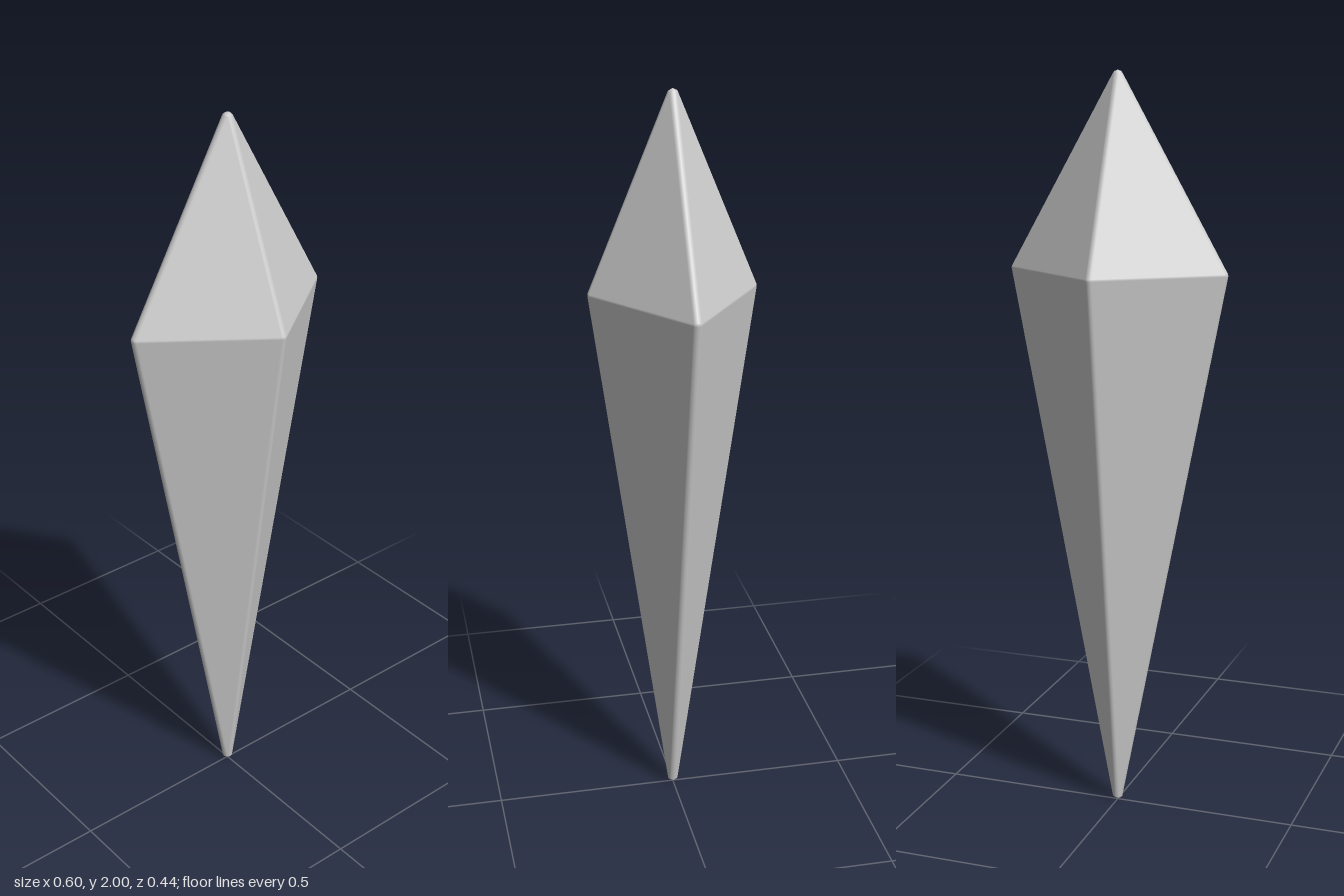
import * as THREE from 'three';

const RADIUS = 0.014; // rounding of edges and tips
const BELT_Y = 1.485; // height of the widest point
const STEPS = 4;
const SIGNS = [-1, 1];

// Distance from the belt centre to a rounding centre along axis 0, 1 or 2
function reach(axis, sign) {
  if (axis === 0) return 0.3 - RADIUS;
  if (axis === 2) return 0.222 - RADIUS;
  return (sign > 0 ? 2 - BELT_Y : BELT_Y) - RADIUS;
}

function corner(axis, sign) {
  return new THREE.Vector3().setComponent(axis, sign * reach(axis, sign));
}

function faceNormal(signs) {
  return new THREE.Vector3(...signs.map((s, axis) => s / reach(axis, s))).normalize();
}

// Four-sided double pyramid with rolled edges and tips
function crystalGeometry() {
  const positions = [], normals = [];

  const addTriangle = (corners, flip) => {
    const order = flip ? [0, 2, 1] : [0, 1, 2];
    for (const i of order) {
      const [centre, n] = corners[i];
      positions.push(...centre.clone().addScaledVector(n, RADIUS).toArray());
      normals.push(...n.toArray());
    }
  };

  // Grid between rounding centres p(v) and blended normals n(u, v)
  const addPatch = (p, n, rows, flip) => {
    for (let a = 0; a < STEPS; a++) {
      for (let b = 0; b < rows; b++) {
        const at = (i, j) => [p(j / rows), n(i / STEPS, j / rows).normalize()];
        const q = [at(a, b), at(a + 1, b), at(a + 1, b + 1), at(a, b + 1)];
        addTriangle([q[0], q[1], q[2]], flip);
        addTriangle([q[0], q[2], q[3]], flip);
      }
    }
  };

  const normalAt = (i, si, j, sj, k, sk) => {
    const signs = [];
    signs[i] = si;
    signs[j] = sj;
    signs[k] = sk;
    return faceNormal(signs);
  };

  // Flat facets
  for (const x of SIGNS) for (const y of SIGNS) for (const z of SIGNS) {
    const n = faceNormal([x, y, z]);
    addTriangle([[corner(0, x), n], [corner(1, y), n], [corner(2, z), n]], x * y * z < 0);
  }

  for (let k = 0; k < 3; k++) {
    const i = (k + 1) % 3, j = (k + 2) % 3;

    // Rolled edges joining the corners of axes i and j
    for (const si of SIGNS) for (const sj of SIGNS) {
      const n0 = normalAt(i, si, j, sj, k, -1), n1 = normalAt(i, si, j, sj, k, 1);
      addPatch(v => corner(i, si).lerp(corner(j, sj), v),
        u => n0.clone().lerp(n1, u), 1, si * sj > 0);
    }

    // Rounded tips on axis k
    for (const sk of SIGNS) {
      const n = (si, sj) => normalAt(i, si, j, sj, k, sk);
      addPatch(() => corner(k, sk),
        (u, v) => n(-1, -1).lerp(n(1, -1), u).lerp(n(-1, 1).lerp(n(1, 1), u), v),
        STEPS, sk < 0);
    }
  }

  const geometry = new THREE.BufferGeometry();
  geometry.setAttribute('position', new THREE.Float32BufferAttribute(positions, 3));
  geometry.setAttribute('normal', new THREE.Float32BufferAttribute(normals, 3));
  return geometry;
}

export function createModel() {
  const group = new THREE.Group();
  group.name = 'crystalShard';
  const crystal = new THREE.Mesh(crystalGeometry(), new THREE.MeshStandardMaterial({ color: 0xcccccc }));
  crystal.name = 'crystal';
  crystal.position.y = BELT_Y;
  group.add(crystal);
  return group;
}
